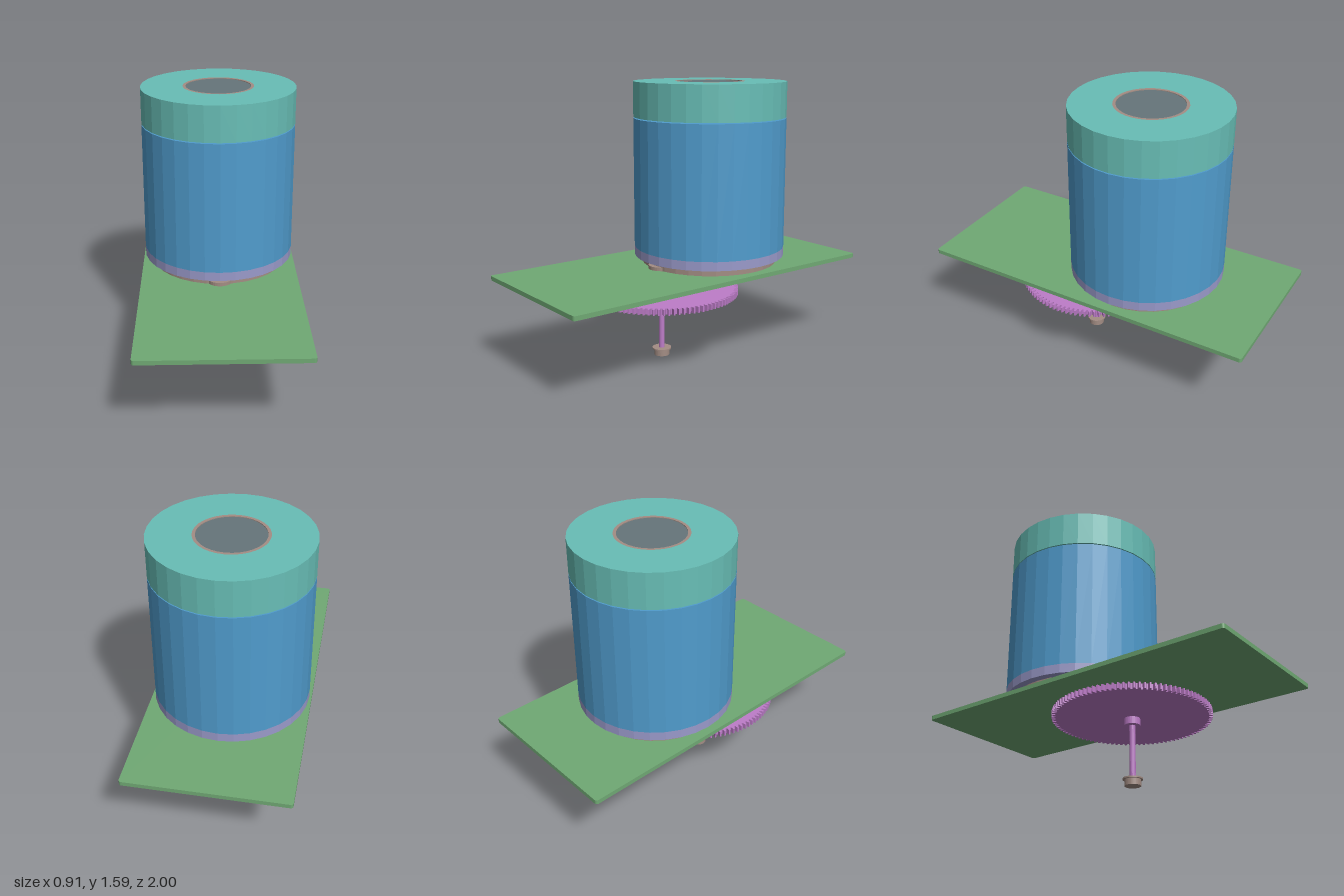
import * as THREE from 'three';

const mat = (name, color) => {
  const m = new THREE.MeshStandardMaterial({ color, flatShading: true });
  m.name = name;
  return m;
};

export function createModel() {
  const model = new THREE.Group();
  model.name = 'gearedMotor';

  const teal = mat('teal', 0x68beb6);
  const blue = mat('blue', 0x509ccd);
  const lavender = mat('lavender', 0x9a9aca);
  const taupe = mat('taupe', 0xa38d84);
  const green = mat('green', 0x70a974);
  const purple = mat('purple', 0xbd7cc8);
  const yellow = mat('yellow', 0xcdb658);
  const grey = mat('grey', 0x66757a);

  const motorZ = -0.21; // motor axis
  const shaftZ = 0.145; // output shaft axis

  const add = (name, geometry, material, x = 0, y = 0, z = 0) => {
    const mesh = new THREE.Mesh(geometry, material);
    mesh.name = name;
    mesh.position.set(x, y, z);
    model.add(mesh);
    return mesh;
  };
  // Upright solid cylinder between two heights
  const disc = (name, material, r, y0, y1, z, x = 0, sides = 32) =>
    add(name, new THREE.CylinderGeometry(r, r, y1 - y0, sides), material, x, (y0 + y1) / 2, z);
  // Upright ring with a rectangular section
  const ring = (name, material, inner, outer, y0, y1, z) => {
    const section = [[inner, y0], [outer, y0], [outer, y1], [inner, y1], [inner, y0]];
    const points = section.map(([r, y]) => new THREE.Vector2(r, y));
    add(name, new THREE.LatheGeometry(points, 32), material, 0, 0, z);
  };
  // Flat shape extruded upwards from y0
  const slab = (name, material, shape, y0, y1, z) => {
    const g = new THREE.ExtrudeGeometry(shape, { depth: y1 - y0, bevelEnabled: false, curveSegments: 6 });
    g.rotateX(-Math.PI / 2);
    add(name, g, material, 0, y0, z);
  };

  // Mounting plate with slightly rounded corners
  const w = 0.455, d = 1, c = 0.015;
  const plate = new THREE.Shape();
  plate.absarc(w - c, d - c, c, 0, Math.PI / 2);
  plate.absarc(-w + c, d - c, c, Math.PI / 2, Math.PI);
  plate.absarc(-w + c, -d + c, c, Math.PI, Math.PI * 1.5);
  plate.absarc(w - c, -d + c, c, Math.PI * 1.5, Math.PI * 2);
  slab('mountingPlate', green, plate, 0.5, 0.525, 0);

  // Motor stack
  disc('motorBase', taupe, 0.4, 0.525, 0.57, motorZ);
  disc('lowerRim', lavender, 0.445, 0.566, 0.618, motorZ);
  disc('motorBody', blue, 0.445, 0.618, 1.375, motorZ);
  disc('capSpacer', teal, 0.075, 1.375, 1.381, motorZ);
  ring('topCap', teal, 0.204, 0.445, 1.381, 1.585, motorZ);
  disc('capFloor', teal, 0.21, 1.381, 1.4, motorZ);
  ring('capBearing', taupe, 0.187, 0.204, 1.4, 1.585, motorZ);
  disc('capPlug', grey, 0.187, 1.4, 1.581, motorZ);

  // Drive pinion and terminal pins under the plate
  disc('pinion', yellow, 0.043, 0.425, 0.5, motorZ, 0, 20);
  for (const x of [0.2, 0.312]) disc('terminalPin', grey, 0.004, 0.483, 0.5, motorZ, x, 8);

  // Large spur gear
  const teeth = 100, root = 0.423, tip = 0.445;
  const gear = new THREE.Shape();
  for (let i = 0; i < teeth; i++) {
    [[0, root], [0.2, tip], [0.5, tip], [0.7, root]].forEach(([t, r], k) => {
      const a = ((i + t) / teeth) * Math.PI * 2;
      gear[i + k ? 'lineTo' : 'moveTo'](r * Math.cos(a), r * Math.sin(a));
    });
  }
  gear.closePath();
  slab('spurGear', purple, gear, 0.382, 0.415, shaftZ);
  disc('gearHub', purple, 0.045, 0.342, 0.384, shaftZ);
  disc('outputShaft', purple, 0.017, 0.002, 0.556, shaftZ, 0, 20);

  // Shaft bearings
  disc('upperBearingFlange', taupe, 0.075, 0.525, 0.546, shaftZ);
  disc('upperBearing', taupe, 0.045, 0.546, 0.56, shaftZ);
  disc('lowerBearing', taupe, 0.045, 0, 0.035, shaftZ);
  disc('lowerBearingFlange', taupe, 0.055, 0.035, 0.043, shaftZ);

  return model;
}
